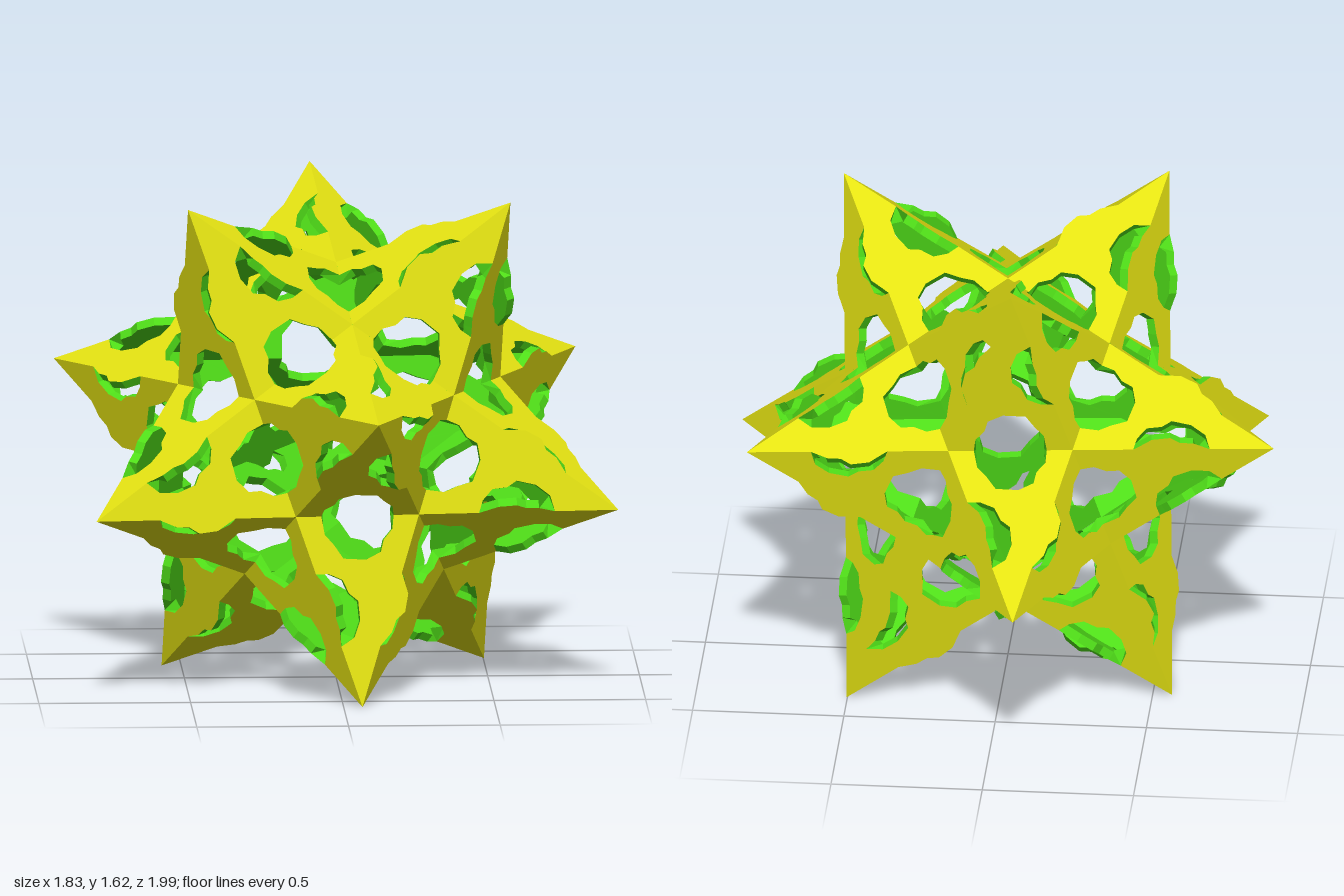
import * as THREE from 'three';

const R = 1.02, CENTRE_Y = 0.81;   // tip radius and height of the middle
const INNER = 0.935;               // lining planes are the shell planes moved towards the centre
const THICK = 0.455 * (1 - INNER); // wall thickness that follows from it
const HALF = 0.2045, HEIGHT = 0.63; // one long triangular spike face
const LOW = 0.19, HIGH = 0.43;     // the ridge is open between these heights
const ridge = (y) => HALF * (1 - y / HEIGHT);

// Half of an opening on the base of a spike face (the other half is on its neighbour)
const notch = [[-0.12, 0], [-0.115, 0.045], [-0.085, 0.08], [-0.075, 0.12], [-0.025, 0.145],
  [0.05, 0.14], [0.08, 0.095], [0.11, 0.06], [0.12, 0]];
// Opening cut into the right ridge, going up
const rightCut = [[ridge(LOW), LOW], [0.1, 0.19], [0.055, 0.21], [0.035, 0.255], [0.005, 0.28],
  [0, 0.345], [0.02, 0.4], [ridge(HIGH), HIGH]];
// The arm swells past the left ridge, going down
const leftSwell = [[-ridge(HIGH), HIGH], [-0.105, 0.385], [-0.12, 0.345], [-0.15, 0.32],
  [-0.162, 0.26], [-0.152, 0.225], [-ridge(LOW), LOW]];

const outline = [];
const cuts = []; // edges that need a wall between shell and lining
for (const path of [[[-HALF, 0]], notch, [[HALF, 0]], rightCut, [[0, HEIGHT]], leftSwell]) {
  const start = outline.length;
  outline.push(...path);
  for (let i = 1; i < path.length; i++) cuts.push([start + i - 1, start + i]);
}
const onEdge = ([x, y]) => y === 0 || Math.abs(Math.abs(x) - ridge(y)) < 1e-6;

// Twelve tips: two triangles and two wider rings between them
function makeTips() {
  const tips = [];
  const rings = [[0.7947, 0.6071, 0], [0.1876, 0.9822, Math.PI],
    [-0.1876, 0.9822, 0], [-0.7947, 0.6071, Math.PI]];
  for (const [y, r, turn] of rings) {
    for (let i = 0; i < 3; i++) {
      const a = Math.atan2(-0.995, -0.1) + turn + i * Math.PI * 2 / 3;
      tips.push(new THREE.Vector3(Math.cos(a) * r, y, Math.sin(a) * r).multiplyScalar(R));
    }
  }
  return tips;
}

// The five base corners of a spike, counter-clockwise seen from outside
function baseCorners(tip, tips) {
  const axis = tip.clone().normalize();
  const far = tips.filter((t) => t.dot(tip) < 0 && t.dot(tip) > -0.9 * R * R);
  const e1 = far[0].clone().addScaledVector(axis, -far[0].dot(axis)).normalize();
  const e2 = axis.clone().cross(e1);
  const angle = (p) => Math.atan2(p.dot(e2), p.dot(e1));
  far.sort((p, q) => angle(p) - angle(q));
  return far.map((p) => tip.clone().lerp(p, 0.381966));
}

function meshFrom(points, material, name) {
  const geometry = new THREE.BufferGeometry().setFromPoints(points);
  geometry.computeVertexNormals();
  const mesh = new THREE.Mesh(geometry, material);
  mesh.name = name;
  return mesh;
}

export function createModel() {
  const model = new THREE.Group();
  model.name = 'openworkStar';
  const yellow = new THREE.MeshStandardMaterial({ color: 0xe4e212, flatShading: true });
  const green = new THREE.MeshStandardMaterial({ color: 0x4fdc18, flatShading: true });

  const triangles = THREE.ShapeUtils.triangulateShape(
    outline.map(([x, y]) => new THREE.Vector2(x, y)), []);

  const tips = makeTips();
  tips.forEach((tip) => {
    const shell = [], lining = [];
    const base = baseCorners(tip, tips);
    base.forEach((b, i) => {
      const c = base[(i + 1) % 5];
      const mid = b.clone().add(c).multiplyScalar(0.5);
      const along = c.clone().sub(mid).divideScalar(HALF);
      const up = tip.clone().sub(mid).divideScalar(HEIGHT);
      const normal = along.clone().cross(up).normalize();
      const outer = outline.map(([x, y]) => mid.clone().addScaledVector(along, x).addScaledVector(up, y));
      // Points shared with a neighbour shrink to the centre; cut edges go straight in
      const inner = outer.map((p, k) => (onEdge(outline[k])
        ? p.clone().multiplyScalar(INNER) : p.clone().addScaledVector(normal, -THICK)));
      for (const [p, q, r] of triangles) {
        shell.push(outer[p], outer[q], outer[r]);
        lining.push(inner[p], inner[r], inner[q]);
      }
      for (const [p, q] of cuts) {
        lining.push(inner[p], inner[q], outer[q], inner[p], outer[q], outer[p]);
      }
    });
    const spike = new THREE.Group();
    spike.name = 'spike';
    spike.add(meshFrom(shell, yellow, 'spikeShell'), meshFrom(lining, green, 'spikeLining'));
    spike.position.y = CENTRE_Y;
    model.add(spike);
  });
  return model;
}
